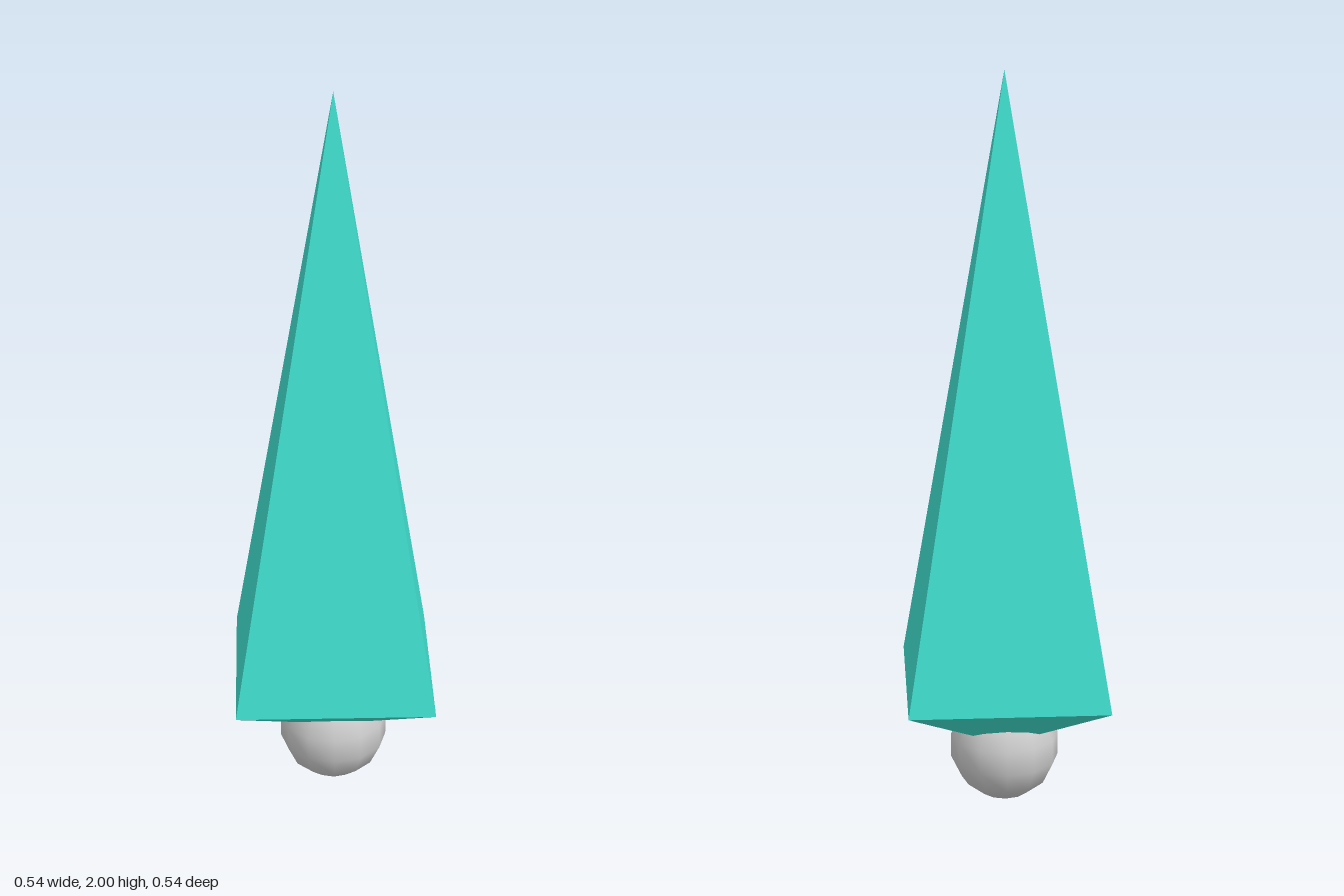
import * as THREE from 'three';

export function createModel() {
  const group = new THREE.Group();
  const turquoise = new THREE.MeshStandardMaterial({ color: 0x40e0d0, flatShading: true });
  const grey = new THREE.MeshStandardMaterial({ color: 0xcccccc });

  const ballY = 0.15, collarY = 0.338, tipY = 2, halfWidth = 0.268;

  // four-sided open pyramid, square to the axes, between two heights
  function addPyramid(name, baseY, apexY) {
    const height = Math.abs(apexY - baseY);
    const geometry = new THREE.ConeGeometry(halfWidth * Math.SQRT2, height, 4, 1, true);
    geometry.rotateY(Math.PI / 4);
    if (apexY < baseY) geometry.rotateX(Math.PI);
    const mesh = new THREE.Mesh(geometry, turquoise);
    mesh.name = name;
    mesh.position.y = (baseY + apexY) / 2;
    group.add(mesh);
  }

  // long spike above, short taper down into the ball
  addPyramid('spike', collarY, tipY);
  addPyramid('lowerTaper', collarY, ballY);

  // joint ball at the foot
  const ball = new THREE.Mesh(new THREE.SphereGeometry(0.15, 12, 7), grey);
  ball.name = 'jointBall';
  ball.position.y = ballY;
  group.add(ball);

  return group;
}
